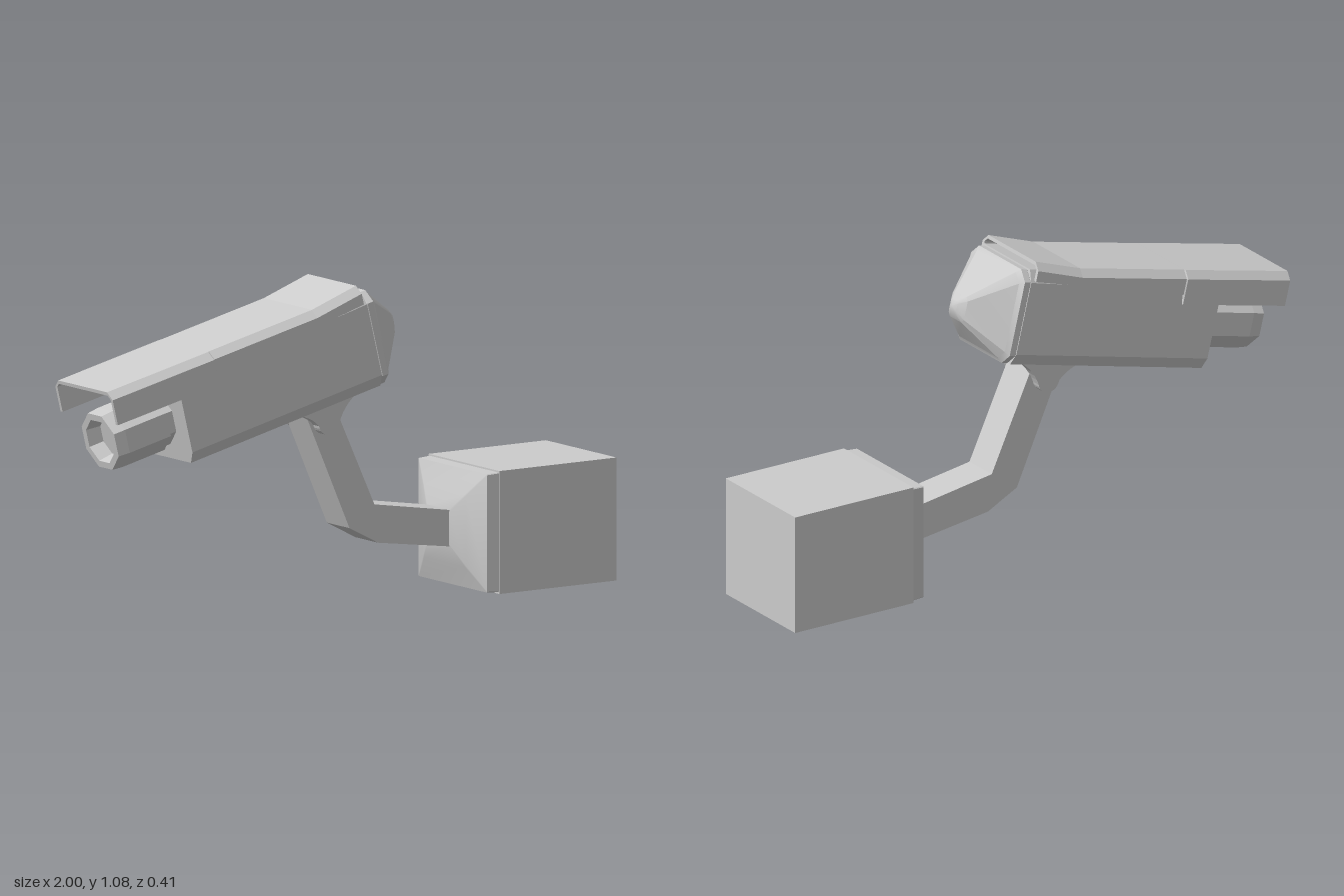
import * as THREE from 'three';
import { toCreasedNormals } from 'three/addons/utils/BufferGeometryUtils.js';

const flat = new THREE.MeshStandardMaterial({ color: 0xcccccc, flatShading: true });
const smooth = new THREE.MeshStandardMaterial({ color: 0xcccccc });

// Loft along x: stations are [x, ring], each ring a list of [y, z] of equal length
function loft(stations) {
  const pos = [];
  const quad = (a, b, c, d) => pos.push(...a, ...b, ...c, ...a, ...c, ...d);
  const rings = stations.map(([x, ring]) => ring.map(([y, z]) => [x, y, z]));
  const n = rings[0].length;
  for (let k = 0; k < rings.length - 1; k++) {
    for (let i = 0; i < n; i++) {
      const j = (i + 1) % n;
      quad(rings[k][i], rings[k][j], rings[k + 1][j], rings[k + 1][i]);
    }
  }
  // End caps as strips between opposite points
  const first = rings[0], last = rings[rings.length - 1];
  for (let i = 0; i < n / 2 - 1; i++) {
    quad(last[i], last[i + 1], last[n - 2 - i], last[n - 1 - i]);
    quad(first[n - 1 - i], first[n - 2 - i], first[i + 1], first[i]);
  }
  const geo = new THREE.BufferGeometry();
  geo.setAttribute('position', new THREE.Float32BufferAttribute(pos, 3));
  geo.computeVertexNormals();
  return geo;
}

// Rectangle with chamfered corners, from y0 to y1, half width w
function chamferRect(y0, y1, w, cy, cz = cy) {
  return [
    [y1, -w + cz], [y1, w - cz], [y1 - cy, w], [y0 + cy, w],
    [y0, w - cz], [y0, -w + cz], [y0 + cy, -w], [y1 - cy, -w],
  ];
}

// Thin upside-down U for the sunshield
function shieldRing(bottom, top, w) {
  const c = 0.025, t = 0.012;
  const outer = [[bottom, -w], [top - c, -w], [top, -w + c]];
  const inner = [[top - t, -w + c], [top - c, -w + t], [bottom, -w + t]];
  const mirror = (pts) => pts.map(([y, z]) => [y, -z]).reverse();
  return [...outer, ...mirror(outer), ...mirror(inner), ...inner];
}

function extrudeZ(shape, z0, z1) {
  const geo = new THREE.ExtrudeGeometry(shape, { depth: z1 - z0, bevelEnabled: false, curveSegments: 6 });
  return geo.translate(0, 0, z0);
}

export function createModel() {
  const model = new THREE.Group();
  const add = (parent, name, geo, mat = flat) => {
    const mesh = new THREE.Mesh(geo, mat);
    mesh.name = name;
    parent.add(mesh);
    return mesh;
  };

  // Wall box with a tapered neck
  add(model, 'wallBox', new THREE.BoxGeometry(0.47, 0.412, 0.412).translate(0.765, 0.206, 0));
  add(model, 'wallBoxNeck', toCreasedNormals(loft([
    [0.425, chamferRect(0.15, 0.27, 0.067, 0.005)],
    [0.452, chamferRect(0.085, 0.33, 0.125, 0.005)],
    [0.485, chamferRect(0.008, 0.404, 0.2, 0.003)],
    [0.54, chamferRect(0.005, 0.407, 0.203, 0.003)],
  ]), 0.5), smooth);

  // Bent support arm
  const arm = new THREE.Shape([
    [-0.15, 0.645], [0.025, 0.25], [0.14, 0.19], [0.44, 0.148],
    [0.44, 0.27], [0.125, 0.32], [-0.03, 0.655], [-0.05, 0.69], [-0.12, 0.68],
  ].map(([x, y]) => new THREE.Vector2(x, y)));
  add(model, 'arm', extrudeZ(arm, -0.066, 0.066));

  // Hinge cheeks on both sides of the arm
  const cheek = new THREE.Shape();
  cheek.moveTo(-0.23, 0.66);
  cheek.quadraticCurveTo(-0.15, 0.645, -0.12, 0.61);
  cheek.absarc(-0.08, 0.618, 0.041, Math.PI * 1.06, Math.PI * 1.96, false);
  cheek.quadraticCurveTo(-0.02, 0.67, 0.03, 0.705);
  cheek.lineTo(0.03, 0.73);
  cheek.lineTo(-0.23, 0.67);
  add(model, 'hingeCheekLeft', extrudeZ(cheek, 0.062, 0.1));
  add(model, 'hingeCheekRight', extrudeZ(cheek, -0.1, -0.062));

  // Tilted camera head; x runs from the lens end to the rear
  const head = new THREE.Group();
  head.name = 'cameraHead';
  head.position.set(-0.66, 0.545, 0);
  head.rotation.z = 0.24;
  model.add(head);

  add(head, 'body', loft([
    [0, chamferRect(0, 0.325, 0.16, 0.04, 0.022)],
    [0.58, chamferRect(0, 0.325, 0.16, 0.04, 0.022)],
    [0.782, chamferRect(0, 0.33, 0.16, 0.04, 0.022)],
  ]));

  add(head, 'sunshield', loft([
    [-0.266, shieldRing(0.23, 0.343, 0.167)],
    [0.151, shieldRing(0.227, 0.34, 0.168)],
    [0.155, shieldRing(0.26, 0.34, 0.165)],
    [0.58, shieldRing(0.285, 0.338, 0.165)],
    [0.767, shieldRing(0.295, 0.358, 0.165)],
  ]));

  // Pointed rear cover
  add(head, 'rearCover', toCreasedNormals(loft([
    [0.775, chamferRect(0.008, 0.318, 0.15, 0.03)],
    [0.785, chamferRect(0, 0.326, 0.16, 0.035)],
    [0.808, chamferRect(0, 0.326, 0.16, 0.035)],
    [0.82, chamferRect(0.014, 0.312, 0.145, 0.03)],
    [0.937, chamferRect(0.108, 0.197, 0.045, 0.012)],
    [0.957, chamferRect(0.135, 0.175, 0.02, 0.007)],
    [0.963, chamferRect(0.153, 0.157, 0.002, 0.0005)],
  ]), 0.5), smooth);

  // Octagonal lens hood with a recessed glass
  const octagon = (pts) => new THREE.LatheGeometry(
    pts.map(([r, h]) => new THREE.Vector2(r, h)), 8, Math.PI / 8)
    .rotateZ(Math.PI / 2).translate(0, 0.14, 0);
  add(head, 'lensHood', octagon([
    [0.095, -0.02], [0.095, 0.025], [0.106, 0.03], [0.106, 0.2],
    [0.102, 0.243], [0.078, 0.243], [0.07, 0.19], [0, 0.19],
  ]));
  return model;
}
